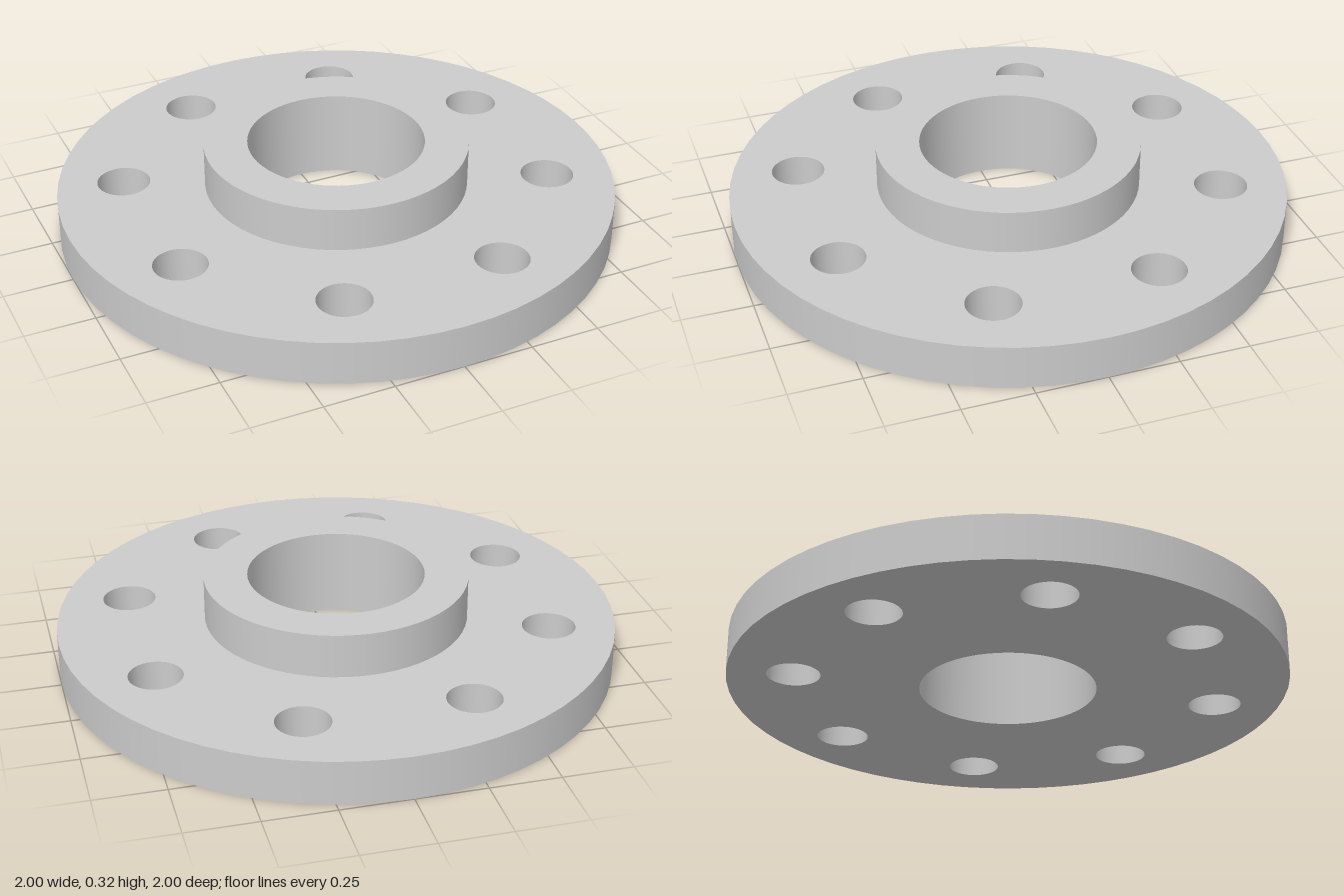
import * as THREE from 'three';
import { mergeGeometries } from 'three/addons/utils/BufferGeometryUtils.js';

const SEGMENTS = 64;
const RIM = 1, HUB = 0.473, BORE = 0.317;
const PLATE_TOP = 0.16, HUB_TOP = 0.32;
const BOLT_CIRCLE = 0.765, BOLT_HOLE = 0.095, BOLT_COUNT = 8;

const boltCentres = Array.from({ length: BOLT_COUNT }, (_, i) => {
  const a = ((i + 0.5) / BOLT_COUNT) * Math.PI * 2;
  return [BOLT_CIRCLE * Math.cos(a), BOLT_CIRCLE * Math.sin(a)];
});

// Revolved band between two profile points; rising faces outward, falling faces inward
function band(r0, y0, r1, y1) {
  return new THREE.LatheGeometry([new THREE.Vector2(r0, y0), new THREE.Vector2(r1, y1)], SEGMENTS);
}

// Flat disc with a centre opening and the ring of bolt holes
function drilledFace(centreRadius, y, up) {
  const shape = new THREE.Shape().absarc(0, 0, RIM, 0, Math.PI * 2);
  const cut = (x, z, r) => shape.holes.push(new THREE.Path().absarc(x, z, r, 0, Math.PI * 2, true));
  cut(0, 0, centreRadius);
  boltCentres.forEach(([x, z]) => cut(x, z, BOLT_HOLE));
  return new THREE.ShapeGeometry(shape, SEGMENTS / 2)
    .rotateX(up ? -Math.PI / 2 : Math.PI / 2)
    .translate(0, y, 0);
}

export function createModel() {
  const group = new THREE.Group();
  group.name = 'pipeFlange';
  const material = new THREE.MeshStandardMaterial({ color: 0xcccccc });
  const add = (name, parts) => {
    const mesh = new THREE.Mesh(mergeGeometries(parts), material);
    mesh.name = name;
    group.add(mesh);
  };

  // Round plate: rim wall, drilled top and bottom faces
  add('flangePlate', [
    band(RIM, 0, RIM, PLATE_TOP),
    drilledFace(HUB, PLATE_TOP, true),
    drilledFace(BORE, 0, false),
  ]);

  // Walls of the bolt holes
  add('boltHoles', boltCentres.map(([x, z]) =>
    band(BOLT_HOLE, PLATE_TOP, BOLT_HOLE, 0).translate(x, 0, z)));

  // Raised hub: outer wall and top ring
  add('hub', [
    band(HUB, PLATE_TOP, HUB, HUB_TOP),
    band(HUB, HUB_TOP, BORE, HUB_TOP),
  ]);

  // Through bore
  add('bore', [band(BORE, HUB_TOP, BORE, 0)]);

  return group;
}
